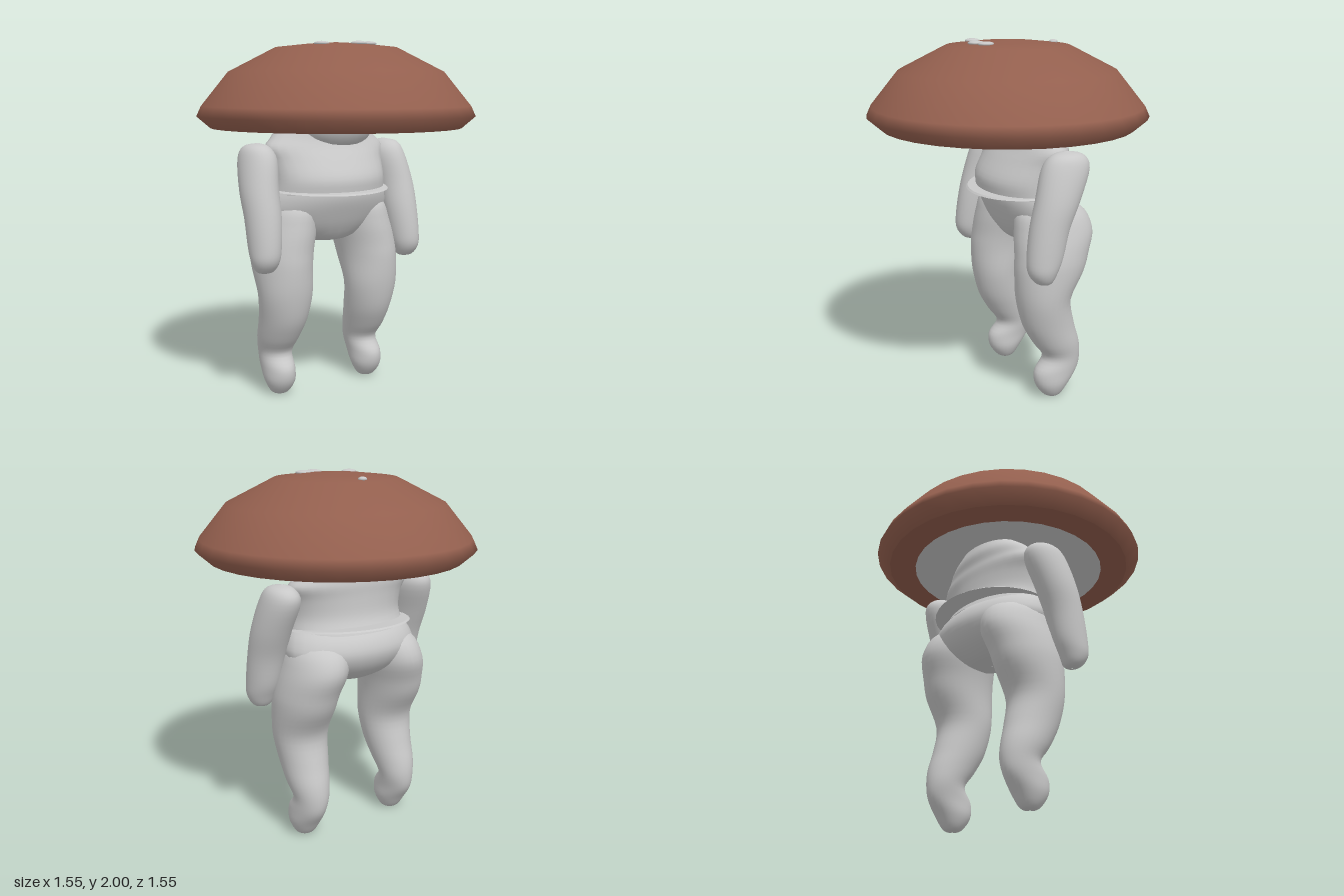
import * as THREE from 'three';

const grey = new THREE.MeshStandardMaterial({ color: 0xc8c8c8 });
grey.name = 'pale grey';
const brown = new THREE.MeshStandardMaterial({ color: 0x935f4e });
brown.name = 'cap brown';

// Smooth body through elliptical sections [y, centreX, centreZ, radiusX, radiusZ], bottom to top
function loft(name, sections, side = 1, around = 28, steps = 4) {
  const centres = new THREE.CatmullRomCurve3(
    sections.map(([y, cx, cz]) => new THREE.Vector3(cx * side, y, cz)), false, 'catmullrom');
  const radii = new THREE.CatmullRomCurve3(
    sections.map(([, , , rx, rz]) => new THREE.Vector3(rx, rz, 0)), false, 'catmullrom');
  const rings = (sections.length - 1) * steps;
  const pos = [], index = [];
  for (let i = 0; i <= rings; i++) {
    const c = centres.getPoint(i / rings), r = radii.getPoint(i / rings);
    for (let j = 0; j < around; j++) {
      const a = (j / around) * Math.PI * 2;
      pos.push(c.x + Math.cos(a) * r.x, Math.max(0, c.y), c.z + Math.sin(a) * r.y);
      if (i === rings) continue;
      const p = i * around + j, q = i * around + (j + 1) % around;
      index.push(p, p + around, q, q, p + around, q + around);
    }
  }
  const geo = new THREE.BufferGeometry();
  geo.setAttribute('position', new THREE.Float32BufferAttribute(pos, 3));
  geo.setIndex(index);
  geo.computeVertexNormals();
  const mesh = new THREE.Mesh(geo, grey);
  mesh.name = name;
  return mesh;
}

function ellipsoid(name, x, y, z, rx, ry, rz, w = 24, h = 16) {
  const mesh = new THREE.Mesh(new THREE.SphereGeometry(1, w, h), grey);
  mesh.scale.set(rx, ry, rz);
  mesh.position.set(x, y, z);
  mesh.name = name;
  return mesh;
}

function lathe(name, points, material) {
  const mesh = new THREE.Mesh(
    new THREE.LatheGeometry(points.map(([r, y]) => new THREE.Vector2(r, y)), 32), material);
  mesh.name = name;
  return mesh;
}

export function createModel() {
  const model = new THREE.Group();
  model.name = 'mushroomFigure';

  // Cap: faceted dome outline, flat rim underneath, pale recessed underside
  const cap = new THREE.Group();
  cap.name = 'cap';
  cap.add(lathe('capDome', [[0.7, 1.53], [0.775, 1.595], [0.75, 1.65], [0.6, 1.835],
    [0.34, 1.968], [0.17, 1.987], [0, 1.998]], brown));
  cap.add(lathe('capRim', [[0.55, 1.528], [0.7, 1.53]], brown));
  cap.add(lathe('capUnderside', [[0, 1.61], [0.2, 1.6], [0.4, 1.57], [0.55, 1.528]], grey));
  for (const [x, y, z, r] of [[-0.18, 1.983, 0.13, 0.042], [0.015, 1.986, 0.195, 0.045],
    [0.095, 1.986, 0.175, 0.045], [0.02, 1.978, -0.27, 0.024]]) {
    cap.add(ellipsoid('capSpot', x, y, z, r, 0.013, r, 10, 8));
  }
  model.add(cap);

  // Head tucked up into the cap, chin showing
  model.add(ellipsoid('head', 0.04, 1.56, -0.07, 0.25, 0.17, 0.165));

  // Shirt
  model.add(loft('torso', [
    [1.165, 0, -0.09, 0.36, 0.24], [1.25, 0, -0.07, 0.35, 0.22], [1.35, 0, -0.095, 0.36, 0.185],
    [1.42, 0, -0.12, 0.385, 0.16], [1.47, 0, -0.13, 0.345, 0.145], [1.53, 0, -0.14, 0.29, 0.14],
    [1.6, 0, -0.14, 0.2, 0.12]]));

  // Thin flaring shirt hem, lower at the front
  const hem = new THREE.Mesh(new THREE.CylinderGeometry(0.97, 1, 0.008, 32), grey);
  hem.name = 'shirtHem';
  hem.scale.set(0.375, 1, 0.32);
  hem.position.set(0, 1.188, -0.1);
  hem.rotation.x = 0.06;
  model.add(hem);

  // Hips
  model.add(loft('hips', [
    [0.88, 0, -0.12, 0.005, 0.005], [0.89, 0, -0.12, 0.14, 0.11], [0.96, 0, -0.14, 0.32, 0.19],
    [1.05, 0, -0.14, 0.4, 0.235], [1.13, 0, -0.115, 0.39, 0.24], [1.2, 0, -0.08, 0.35, 0.21]]));

  // Limbs, mirrored
  for (const side of [1, -1]) {
    const label = side > 0 ? 'left' : 'right';
    model.add(loft(label + 'Leg', [
      [0, 0.305, -0.13, 0.004, 0.004], [0.012, 0.305, -0.13, 0.05, 0.05],
      [0.08, 0.305, -0.13, 0.085, 0.1], [0.16, 0.305, -0.155, 0.09, 0.13],
      [0.24, 0.3, -0.19, 0.095, 0.11], [0.33, 0.3, -0.155, 0.115, 0.135],
      [0.45, 0.295, -0.105, 0.135, 0.15], [0.6, 0.295, -0.075, 0.155, 0.155],
      [0.75, 0.295, -0.11, 0.165, 0.2], [0.85, 0.285, -0.13, 0.17, 0.215],
      [0.98, 0.255, -0.155, 0.17, 0.23], [1.1, 0.23, -0.14, 0.14, 0.18],
      [1.16, 0.22, -0.12, 0.005, 0.005]], side));
    model.add(loft(label + 'Arm', [
      [0.75, 0.48, 0.02, 0.004, 0.004], [0.765, 0.48, 0.025, 0.05, 0.045],
      [0.82, 0.48, 0.03, 0.078, 0.08], [0.9, 0.475, 0.015, 0.09, 0.1],
      [1.05, 0.467, -0.015, 0.1, 0.11], [1.2, 0.462, -0.065, 0.104, 0.125],
      [1.36, 0.44, -0.12, 0.1, 0.135], [1.43, 0.44, -0.13, 0.065, 0.09],
      [1.45, 0.43, -0.13, 0.004, 0.004]], side));
  }
  return model;
}
